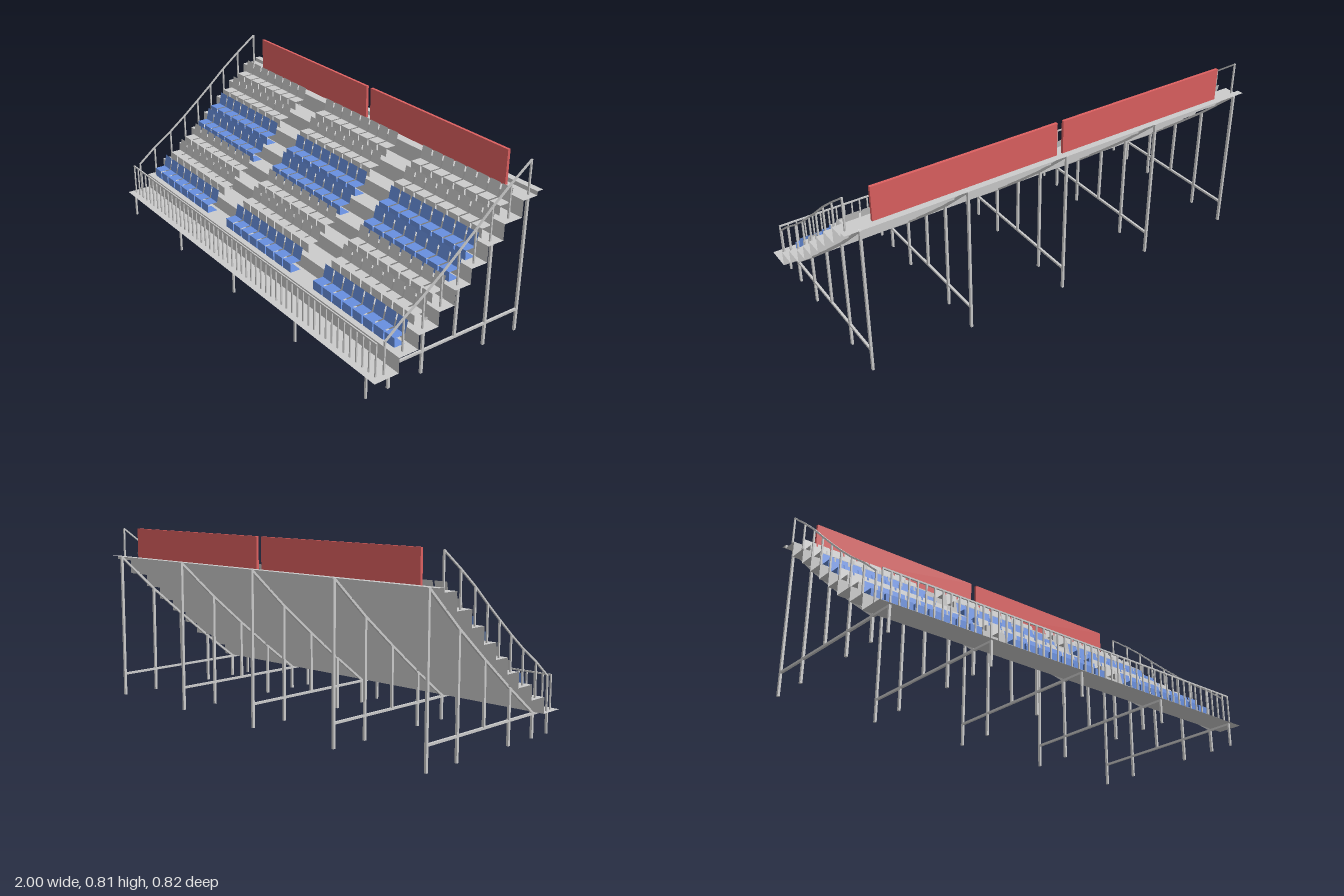
import * as THREE from 'three';

const mat = (color) => new THREE.MeshStandardMaterial({ color, side: THREE.DoubleSide, flatShading: true });

// Thin sheet: a [z, y] profile swept along x
function sheet(profile, x0, x1) {
  const pos = [];
  for (let i = 0; i < profile.length - 1; i++) {
    const [z0, y0] = profile[i], [z1, y1] = profile[i + 1];
    pos.push(x0, y0, z0, x1, y0, z0, x1, y1, z1, x0, y0, z0, x1, y1, z1, x0, y1, z1);
  }
  const g = new THREE.BufferGeometry();
  g.setAttribute('position', new THREE.Float32BufferAttribute(pos, 3));
  g.computeVertexNormals();
  return g;
}

export function createModel() {
  const model = new THREE.Group();
  const grey = mat(0xcccccc), blue = mat(0x6890e0), red = mat(0xdd6060);

  const group = (name, parent = model) => {
    const g = new THREE.Group();
    g.name = name;
    parent.add(g);
    return g;
  };
  const add = (parent, name, geo, material = grey) => {
    const m = new THREE.Mesh(geo, material);
    m.name = name;
    parent.add(m);
    return m;
  };
  // Square bar in the plane of constant x, between two [z, y] points
  const bar = (parent, name, x, a, b, wx, w) => {
    const dz = b[0] - a[0], dy = b[1] - a[1];
    const m = add(parent, name, new THREE.BoxGeometry(wx, w, Math.hypot(dz, dy)));
    m.position.set(x, (a[1] + b[1]) / 2, (a[0] + b[0]) / 2);
    m.rotation.x = -Math.atan2(dy, dz);
    return m;
  };

  // Stepped deck: riser position and tread height of each step
  const steps = [
    [0.293, 0.18], [0.2, 0.245], [0.102, 0.311], [0.026, 0.378], [-0.053, 0.446],
    [-0.133, 0.517], [-0.212, 0.588], [-0.305, 0.662], [-0.38, 0.68],
  ];
  const profile = [[0.41, 0.11]];
  let level = 0.11;
  for (const [z, y] of steps) {
    profile.push([z, level], [z, y]);
    level = y;
  }
  profile.push([-0.41, level]);
  add(model, 'steppedDeck', sheet(profile, -1, 1));

  // Seats: seven rows, three blocks of eight
  const seatGeo = sheet([[-0.051, 0], [0, 0], [0, 0.042], [-0.051, 0.042], [-0.064, 0.1]], 0, 0.058);
  const seatFront = [0.27, 0.175, 0.089, 0.008, -0.072, -0.151, -0.241];
  const blueRows = [0, 3, 4];
  seatFront.forEach((z, row) => {
    const rowGroup = group('seatRow');
    for (const start of [-0.954, -0.265, 0.42]) {
      for (let i = 0; i < 8; i++) {
        const seat = add(rowGroup, 'seat', seatGeo, blueRows.includes(row) ? blue : grey);
        seat.position.set(start + i * 0.0663, steps[row][1] + 0.004, z);
      }
    }
  });

  // Back boards
  for (const [x0, x1] of [[-0.875, -0.02], [0.01, 0.86]]) {
    const board = add(model, 'backBoard', new THREE.BoxGeometry(x1 - x0, 0.153, 0.013), red);
    board.position.set((x0 + x1) / 2, 0.7385, -0.353);
  }

  // Sloping side rails, one post per step
  const posts = [
    [0.343, 0.11], [0.255, 0.18], [0.159, 0.245], [0.073, 0.311], [-0.008, 0.378],
    [-0.088, 0.446], [-0.168, 0.517], [-0.258, 0.588], [-0.359, 0.662],
  ];
  for (const x of [-0.98, 0.972]) {
    const rail = group('sideRail');
    posts.forEach(([z, y], i) => {
      bar(rail, 'railPost', x, [z, y], [z, y + 0.15], 0.007, 0.007);
      if (i) bar(rail, 'handrail', x, [posts[i - 1][0], posts[i - 1][1] + 0.148], [z, y + 0.148], 0.007, 0.007);
    });
  }

  // Front fence
  const fence = group('frontFence');
  const bars = 50;
  for (let i = 0; i <= bars; i++) {
    bar(fence, 'baluster', -0.975 + (1.94 * i) / bars, [0.378, 0.11], [0.378, 0.256], 0.006, 0.006);
  }
  const topRail = add(fence, 'fenceTopRail', new THREE.BoxGeometry(1.946, 0.007, 0.006));
  topRail.position.set(-0.005, 0.256, 0.378);

  // Support frames: legs, floor beam and raking beam
  const rake = [[0.286, 0.108], [0.118, 0.235], [-0.055, 0.373], [-0.22, 0.51], [-0.403, 0.677]];
  for (const x of [-0.949, -0.484, -0.008, 0.468, 0.933]) {
    const frame = group('supportFrame');
    bar(frame, 'frontLeg', x, [0.396, 0], [0.396, 0.108], 0.01, 0.008);
    rake.forEach(([z, y], i) => {
      const foot = i === 2 ? [-0.051, 0.105] : [z, 0];
      bar(frame, 'leg', x, foot, [z, y], 0.01, 0.012);
      if (i) bar(frame, 'rakingBeam', x, rake[i - 1], [z, y], 0.01, 0.01);
    });
    bar(frame, 'floorBeam', x, [0.4, 0.104], [-0.403, 0.104], 0.01, 0.01);
  }
  return model;
}
